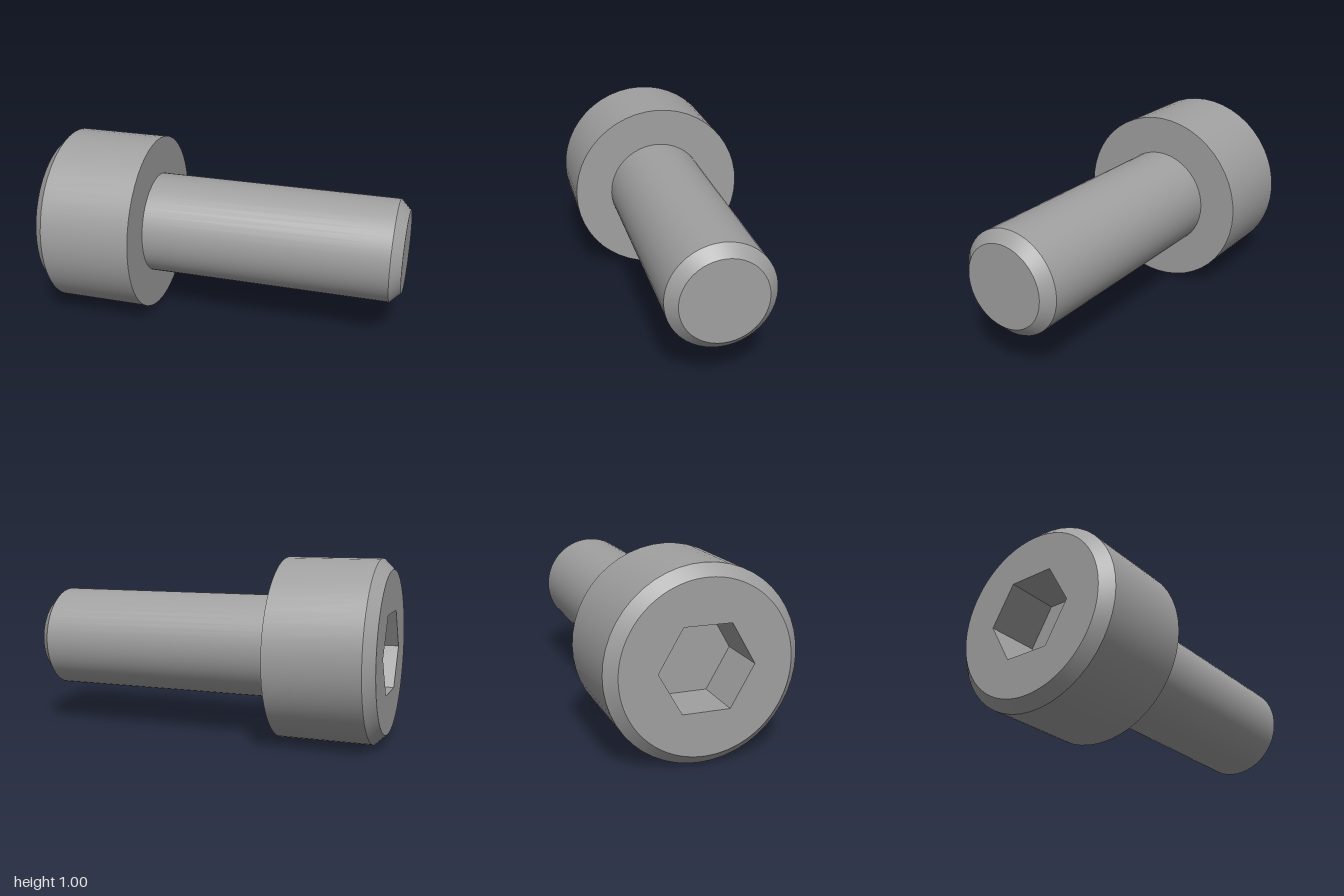
import * as THREE from 'three';
import { toCreasedNormals } from 'three/addons/utils/BufferGeometryUtils.js';

const SIDES = 48;
const HEAD_R = 0.5, HEAD_LEN = 0.571, SHANK_R = 0.286, LENGTH = 2;
const CHAMFER = 0.058, HEX_R = 0.247, HEX_DEPTH = 0.286;

export function createModel() {
  const steel = new THREE.MeshStandardMaterial({ color: 0xa0a0a0 });
  steel.name = 'steel grey';
  const bolt = new THREE.Group();
  bolt.name = 'socketHeadBolt';

  const add = (name, geometry) => {
    const mesh = new THREE.Mesh(geometry, steel);
    mesh.name = name;
    bolt.add(mesh);
  };

  // Turns a [radius, distance along axis] profile around the x axis
  const turn = (profile, sides = SIDES) => {
    const points = profile.map(([r, d]) => new THREE.Vector2(r, d));
    const geometry = new THREE.LatheGeometry(points, sides);
    geometry.rotateZ(-Math.PI / 2);
    return toCreasedNormals(geometry, 0.5);
  };

  // Head: chamfered rim, cylindrical side and bearing face
  const faceR = HEAD_R - CHAMFER;
  add('head', turn([[faceR, 0], [HEAD_R, CHAMFER], [HEAD_R, HEAD_LEN], [SHANK_R, HEAD_LEN]]));

  // Flat outer end of the head with a hexagonal opening
  const disc = new THREE.Shape().absarc(0, 0, faceR, 0, Math.PI * 2, false);
  const corners = Array.from({ length: 6 }, (_, i) =>
    new THREE.Vector2(Math.cos(-i * Math.PI / 3), Math.sin(-i * Math.PI / 3)).multiplyScalar(HEX_R));
  disc.holes.push(new THREE.Path(corners));
  add('headFace', new THREE.ShapeGeometry(disc, SIDES).rotateY(-Math.PI / 2));

  // Hex socket: floor and six inward-facing walls
  add('hexSocket', turn([[0, HEX_DEPTH], [HEX_R, HEX_DEPTH], [HEX_R, 0]], 6));

  // Shank with a chamfered tip
  add('shank', turn([[SHANK_R, HEAD_LEN], [SHANK_R, LENGTH - CHAMFER],
    [SHANK_R - CHAMFER, LENGTH], [0, LENGTH]]));

  // Lay the bolt along x, resting on the ground
  bolt.children.forEach((mesh) => mesh.position.set(-LENGTH / 2, HEAD_R, 0));
  return bolt;
}
